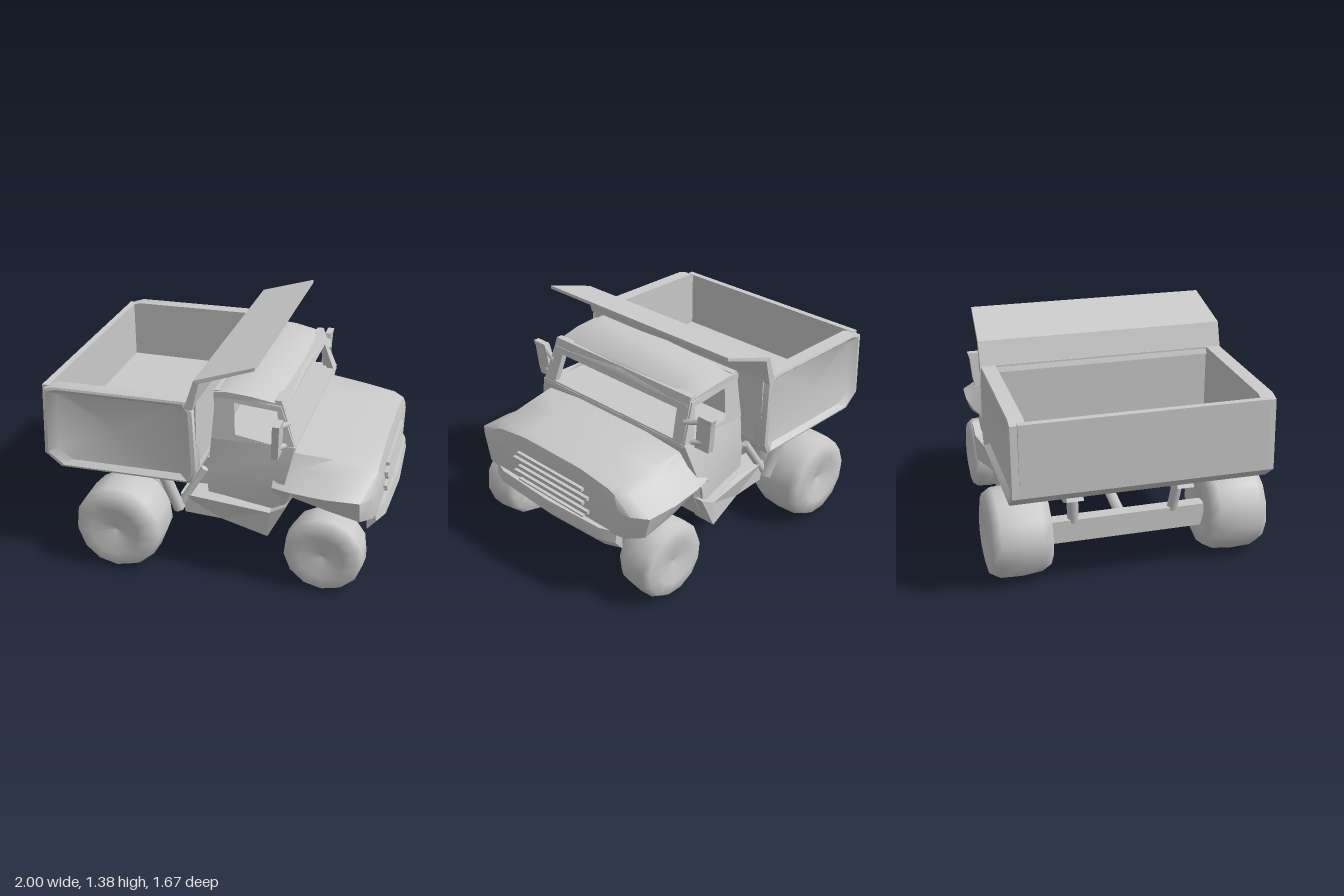
import * as THREE from 'three';
import { toCreasedNormals } from 'three/addons/utils/BufferGeometryUtils.js';

const grey = new THREE.MeshStandardMaterial({ color: 0xcacaca });
grey.name = 'plain grey';

// Skin a list of closed rings of [x, y, z] points, with capped ends
function loft(rings, crease = 0.6) {
  const n = rings[0].length, pos = rings.flat(2), idx = [];
  for (let i = 0; i < rings.length - 1; i++) for (let j = 0; j < n; j++) {
    const a = i * n + j, b = i * n + (j + 1) % n;
    idx.push(a, b, a + n, b, b + n, a + n);
  }
  [0, rings.length - 1].forEach((r, end) => {
    const c = pos.length / 3;
    for (let k = 0; k < 3; k++) pos.push(rings[r].reduce((s, p) => s + p[k], 0) / n);
    for (let j = 0; j < n; j++) {
      const a = r * n + j, b = r * n + (j + 1) % n;
      idx.push(...(end ? [a, b, c] : [b, a, c]));
    }
  });
  // Turn the faces outward when the enclosed volume comes out negative
  const v = i => new THREE.Vector3().fromArray(pos, i * 3);
  let vol = 0;
  for (let i = 0; i < idx.length; i += 3) vol += v(idx[i]).dot(v(idx[i + 1]).cross(v(idx[i + 2])));
  if (vol < 0) idx.reverse();
  const g = new THREE.BufferGeometry();
  g.setAttribute('position', new THREE.Float32BufferAttribute(pos, 3));
  g.setIndex(idx);
  return toCreasedNormals(g, crease);
}

// Flat panel in the xy plane, centred on its thickness
function panel(points, depth, hole) {
  const toV = p => new THREE.Vector2(...p);
  const shape = new THREE.Shape(points.map(toV));
  if (hole) shape.holes.push(new THREE.Path(hole.map(toV)));
  return new THREE.ExtrudeGeometry(shape, { depth, bevelEnabled: false }).translate(0, 0, -depth / 2);
}

// Move every vertex by a rule
function warp(g, rule) {
  const p = g.attributes.position;
  for (let i = 0; i < p.count; i++) p.setXYZ(i, ...rule(p.getX(i), p.getY(i), p.getZ(i)));
  g.computeVertexNormals();
  return g;
}

// Box given by its limits
const block = (x0, x1, y0, y1, z0, z1) =>
  new THREE.BoxGeometry(x1 - x0, y1 - y0, z1 - z0).translate((x0 + x1) / 2, (y0 + y1) / 2, (z0 + z1) / 2);

// Round bar between two points
function bar(a, b, r, sides = 6) {
  const A = new THREE.Vector3(...a), B = new THREE.Vector3(...b), d = B.clone().sub(A);
  const g = new THREE.CylinderGeometry(r, r, d.length(), sides);
  g.applyQuaternion(new THREE.Quaternion().setFromUnitVectors(new THREE.Vector3(0, 1, 0), d.normalize()));
  return g.translate(...A.add(B).multiplyScalar(0.5).toArray());
}

export function createModel() {
  const truck = new THREE.Group();
  truck.name = 'dumpTruck';
  const add = (name, geometry) => {
    const m = new THREE.Mesh(geometry, grey);
    m.name = name;
    truck.add(m);
    return m;
  };

  // Dump bed: floor, end walls and softly dished side walls
  const bedSide = [[-1, 0.7], [-0.9, 0.62], [-0.1, 0.63], [-0.07, 0.7], [-0.085, 1.08], [-0.12, 1.14], [-0.92, 1.13], [-0.98, 1.11]];
  const sideRing = (scale, z) => bedSide.map(([x, y]) => [-0.53 + (x + 0.53) * scale, 0.88 + (y - 0.88) * scale, z]);
  add('bedFloor', panel([[-0.99, 0.7], [-0.9, 0.62], [-0.1, 0.63], [-0.07, 0.7], [-0.08, 0.76], [-0.99, 0.76]], 1.34));
  add('bedBackWall', block(-1, -0.96, 0.7, 1.12, -0.7, 0.7));
  add('bedFrontWall', block(-0.12, -0.075, 0.68, 1.14, -0.7, 0.7));
  for (const s of [-1, 1]) {
    add('bedSideWall', loft([sideRing(1, s * 0.655), sideRing(1, s * 0.74), sideRing(0.95, s * 0.745), sideRing(0.84, s * 0.715)], 0.7));
  }

  // Canopy over the cab, slightly narrower at its front edge
  const canopy = panel([[-0.13, 1.1], [-0.08, 1.1], [-0.04, 1.265], [0.27, 1.37], [0.27, 1.39], [-0.07, 1.28]], 1.49);
  add('canopy', warp(canopy, (x, y, z) => [x, y, z * (1 - 0.1 * Math.max(0, x))]));

  // Lower cab, upright at the back and flaring into the fenders at the front
  const box4 = (x0, x1, y, z0, z1 = z0) => [[x0, y, -z0], [x1, y, -z1], [x1, y, z1], [x0, y, z0]];
  add('cabBody', loft([box4(-0.04, 0.36, 0.36, 0.58, 0.66), box4(-0.05, 0.42, 0.6, 0.585, 0.69), box4(-0.02, 0.47, 0.87, 0.59, 0.6)]));
  add('cabBackWall', block(-0.01, 0.03, 0.86, 1.15, -0.56, 0.56));

  // Side window frames leaning inward
  const cabSide = [[-0.02, 0.86], [0, 1.13], [0.38, 1.1], [0.47, 0.86]];
  const sideWindow = [[0.12, 0.9], [0.11, 1.09], [0.36, 1.07], [0.39, 0.86]];
  for (const s of [-1, 1]) {
    add('sideWindowFrame', warp(panel(cabSide, 0.04, sideWindow),
      (x, y, z) => [x, y, z + s * (0.575 - (y - 0.86) * 0.1)]));
  }

  // Raked windscreen frame
  const screen = panel([[-0.58, 0.85], [0.58, 0.85], [0.56, 1.13], [-0.56, 1.13]], 0.04,
    [[-0.5, 0.88], [0.5, 0.88], [0.48, 1.05], [-0.48, 1.05]]);
  screen.rotateY(Math.PI / 2);
  add('windscreenFrame', warp(screen, (x, y, z) => [x + 0.45 - (y - 0.86) * 0.33, y, z]));

  // Crowned roof
  const roofRing = (x, edge, crown, z) => [[x, edge - 0.04, -z], [x, edge, -z], [x, crown - 0.02, -z * 0.75],
    [x, crown, 0], [x, crown - 0.02, z * 0.75], [x, edge, z], [x, edge - 0.04, z]];
  add('roof', loft([roofRing(-0.01, 1.14, 1.16, 0.57), roofRing(0.06, 1.15, 1.19, 0.57),
    roofRing(0.2, 1.14, 1.2, 0.57), roofRing(0.36, 1.11, 1.15, 0.56), roofRing(0.4, 1.08, 1.1, 0.55)], 0.9));

  // Bonnet with flared fenders: x, top height, crown half width, fender half width, lower edge
  const hood = [
    [0.36, 0.85, 0.57, 0.68, 0.36], [0.48, 0.84, 0.57, 0.71, 0.59], [0.68, 0.82, 0.55, 0.73, 0.55],
    [0.87, 0.79, 0.54, 0.72, 0.5], [0.93, 0.78, 0.48, 0.63, 0.48], [0.945, 0.7, 0.42, 0.55, 0.48],
  ].map(([x, top, zc, zf, low]) => {
    const half = [[zc * 0.5, top], [zc - 0.02, top - 0.03], [zc + 0.03, Math.min(0.73, top - 0.03)], [zf, 0.64],
      [zf - 0.04, low], [0.45, low], [0.4, 0.44]];
    return [...half.map(([z, y]) => [x, y, z]), ...half.reverse().map(([z, y]) => [x, y, -z])];
  });
  add('bonnet', loft(hood, 0.8));

  // Grille bars and bumper
  for (let i = 0; i < 5; i++) {
    const w = 0.28 + 0.04 * (i % 2);
    add('grilleBar', block(0.9, 0.965, 0.48 + i * 0.045, 0.5 + i * 0.045, -w, w));
  }
  for (const s of [-1, 1]) add('bumperBracket', bar([0.8, 0.44, s * 0.25], [0.95, 0.42, s * 0.25], 0.03));
  const bumper = [[-0.52, 0.94], [-0.42, 0.98], [0, 1], [0.42, 0.98], [0.52, 0.94]].map(([z, x]) =>
    [[x - 0.06, 0.49, z], [x - 0.01, 0.49, z], [x, 0.42, z], [x - 0.05, 0.36, z]]);
  add('bumper', loft(bumper, 0.5));

  // Broad tyres with dished hubs: radius and distance along the axle
  const tyre = [[0.001, -0.14], [0.13, -0.18], [0.225, -0.18], [0.258, -0.12], [0.27, 0],
    [0.265, 0.12], [0.235, 0.17], [0.15, 0.185], [0.001, 0.14]].map(p => new THREE.Vector2(...p));
  for (const s of [-1, 1]) {
    for (const [name, x, y, z, r, w] of [['rearWheel', -0.55, 0.277, 0.65, 1, 1], ['frontWheel', 0.67, 0.245, 0.6, 0.88, 0.7]]) {
      const wheel = add(name, new THREE.LatheGeometry(tyre, 13).scale(r, w, r).rotateX(s * Math.PI / 2));
      wheel.position.set(x, y, s * z);
    }
    // Running boards below the doors, spreading outward to the front
    const board = panel([[-0.2, 0.49], [-0.17, 0.37], [0.05, 0.36], [0.35, 0.34], [0.46, 0.56], [0.36, 0.5], [0.05, 0.5]], 0.14);
    add('runningBoard', warp(board, (x, y, z) => [x, y, z + s * (0.57 + 0.27 * Math.min(0.32, Math.max(0, x - 0.05)))]));
    // Bed braces, frame rails and axle struts
    add('bedBrace', bar([-0.28, 0.65, s * 0.7], [-0.2, 0.4, s * 0.66], 0.035));
    add('braceFoot', bar([-0.2, 0.42, s * 0.64], [-0.06, 0.66, s * 0.6], 0.025));
    add('frameRail', panel([[-0.72, 0.5], [-0.64, 0.46], [-0.3, 0.42], [0.05, 0.4], [0.05, 0.58], [-0.25, 0.63], [-0.64, 0.63]], 0.1).translate(0, 0, s * 0.33));
    add('axleStrut', bar([-0.55, 0.25, s * 0.3], [-0.62, 0.58, s * 0.33], 0.035));
    add('frontStrut', bar([0.67, 0.26, s * 0.32], [0.67, 0.48, s * 0.32], 0.035));
    // Wing mirrors on two arms
    add('mirror', loft([0.84, 0.9, 1.02, 1.06].map((y, i) =>
      box4(0.36 + i * 0.005, 0.4 + i * 0.005, y, 0.05).map(([x, h, z]) => [x, h, z + s * (0.66 + i * 0.012)]))));
    for (const y of [0.89, 1.02]) add('mirrorArm', bar([0.42, y - 0.03, s * 0.55], [0.39, y, s * 0.66], 0.018));
  }

  // Chassis, axles and drive shaft
  add('chassisCrossMember', block(-0.35, -0.22, 0.45, 0.58, -0.35, 0.35));
  add('engineSump', loft([box4(0.1, 0.75, 0.36, 0.2), box4(0.02, 0.85, 0.5, 0.3)]));
  add('rearAxle', block(-0.59, -0.51, 0.175, 0.315, -0.5, 0.5));
  add('frontAxle', block(0.63, 0.71, 0.175, 0.315, -0.5, 0.5));
  add('driveShaft', bar([-0.5, 0.27, 0], [0.08, 0.36, 0], 0.035));
  return truck;
}
